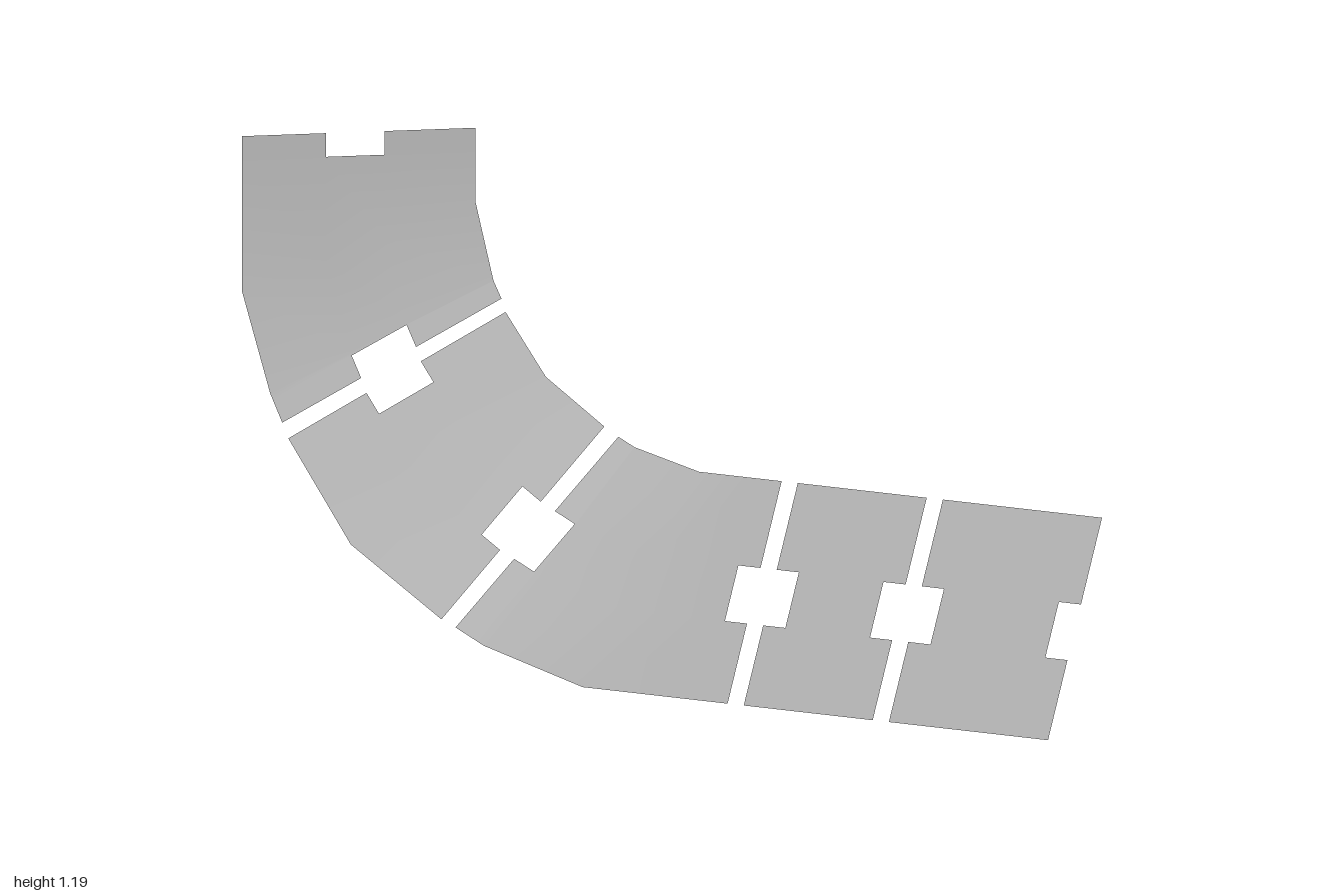
import * as THREE from 'three';

const HALF_DEPTH = 0.145;             // outer rim at +z, inner rim at -z
const NOTCH = 0.055;                  // notch depth along the band
const LEVELS = [0, 0.36, 0.61, 1];    // outer rim, notch sides, inner rim

// Each panel: stations along the band as [outerX, outerY, innerX, innerY]
const PANELS = [
  ['endPanel', [[1, 0, 1, 0.45], [0.605, 0, 0.605, 0.45]]],
  ['straightPanel', [[0.565, 0, 0.565, 0.45], [0.245, 0, 0.245, 0.45]]],
  ['lowerCurvedPanel', [[0.205, 0, 0.205, 0.45], [-0.155, 0, 0, 0.45],
    [-0.4, 0.07, -0.16, 0.49], [-0.47, 0.105, -0.2, 0.51]]],
  ['middleCurvedPanel', [[-0.505, 0.12, -0.235, 0.53], [-0.73, 0.27, -0.38, 0.63],
    [-0.885, 0.5, -0.48, 0.77]]],
  ['upperCurvedPanel', [[-0.9, 0.535, -0.49, 0.8], [-0.93, 0.6, -0.51, 0.84],
    [-1, 0.83, -0.555, 1.02], [-1, 1.19, -0.555, 1.19]]],
];

// Point on a station, from outer rim (v = 0) to inner rim (v = 1)
const pointAt = ([ox, oy, ix, iy], v) => new THREE.Vector3(
  ox + (ix - ox) * v, oy + (iy - oy) * v, HALF_DEPTH * (1 - 2 * v));

// Move from an end towards its neighbour by the notch depth
const inset = (end, next) =>
  end.clone().lerp(next, Math.min(0.98, NOTCH / end.distanceTo(next)));

// Thin sheet, with a notch left open in the middle row at both ends
function panelGeometry(stations) {
  const rows = LEVELS.map((v) => {
    const p = stations.map((s) => pointAt(s, v));
    const n = p.length - 1;
    return [p[0], inset(p[0], p[1]), ...p.slice(1, n), inset(p[n], p[n - 1]), p[n]];
  });
  const cols = rows[0].length;
  const index = [];
  for (let r = 0; r < 3; r++) {
    for (let c = 0; c < cols - 1; c++) {
      if (r === 1 && (c === 0 || c === cols - 2)) continue;
      const a = r * cols + c, b = a + 1, d = a + cols, e = d + 1;
      index.push(a, d, b, b, d, e);
    }
  }
  const geometry = new THREE.BufferGeometry().setFromPoints(rows.flat());
  geometry.setIndex(index);
  geometry.computeVertexNormals();
  return geometry;
}

export function createModel() {
  const group = new THREE.Group();
  group.name = 'notchedPanelBand';
  const material = new THREE.MeshStandardMaterial({ color: 0xcccccc, side: THREE.DoubleSide });
  material.name = 'light grey';
  for (const [name, stations] of PANELS) {
    const mesh = new THREE.Mesh(panelGeometry(stations), material);
    mesh.name = name;
    group.add(mesh);
  }
  return group;
}
